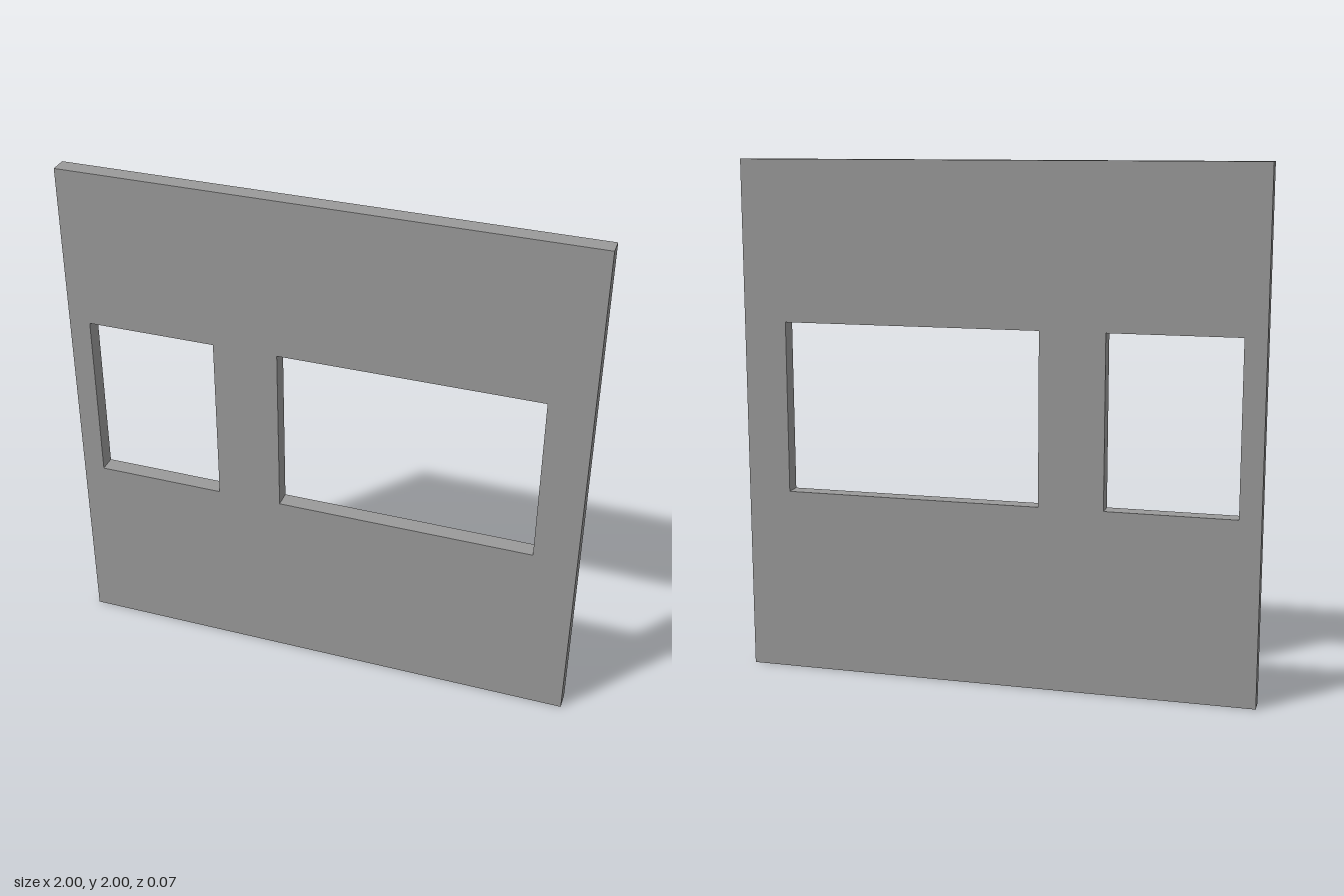
import * as THREE from 'three';

const THICKNESS = 0.066;

// Traces a rectangle onto a Shape or Path
function rect(path, x0, y0, x1, y1) {
  path.moveTo(x0, y0);
  path.lineTo(x1, y0);
  path.lineTo(x1, y1);
  path.lineTo(x0, y1);
  path.closePath();
  return path;
}

export function createModel() {
  const group = new THREE.Group();
  group.name = 'wallPanel';

  // Square wall with a narrow and a wide window opening
  const outline = rect(new THREE.Shape(), -1, 0, 1, 2);
  const openings = [[-0.917, -0.417], [-0.167, 0.833]];
  for (const [left, right] of openings) {
    outline.holes.push(rect(new THREE.Path(), left, 0.717, right, 1.383));
  }

  const geometry = new THREE.ExtrudeGeometry(outline, { depth: THICKNESS, bevelEnabled: false });
  geometry.translate(0, 0, -THICKNESS / 2);

  const wall = new THREE.Mesh(
    geometry,
    new THREE.MeshStandardMaterial({ color: 0x9a9a9a })
  );
  wall.name = 'wall';
  group.add(wall);
  return group;
}
